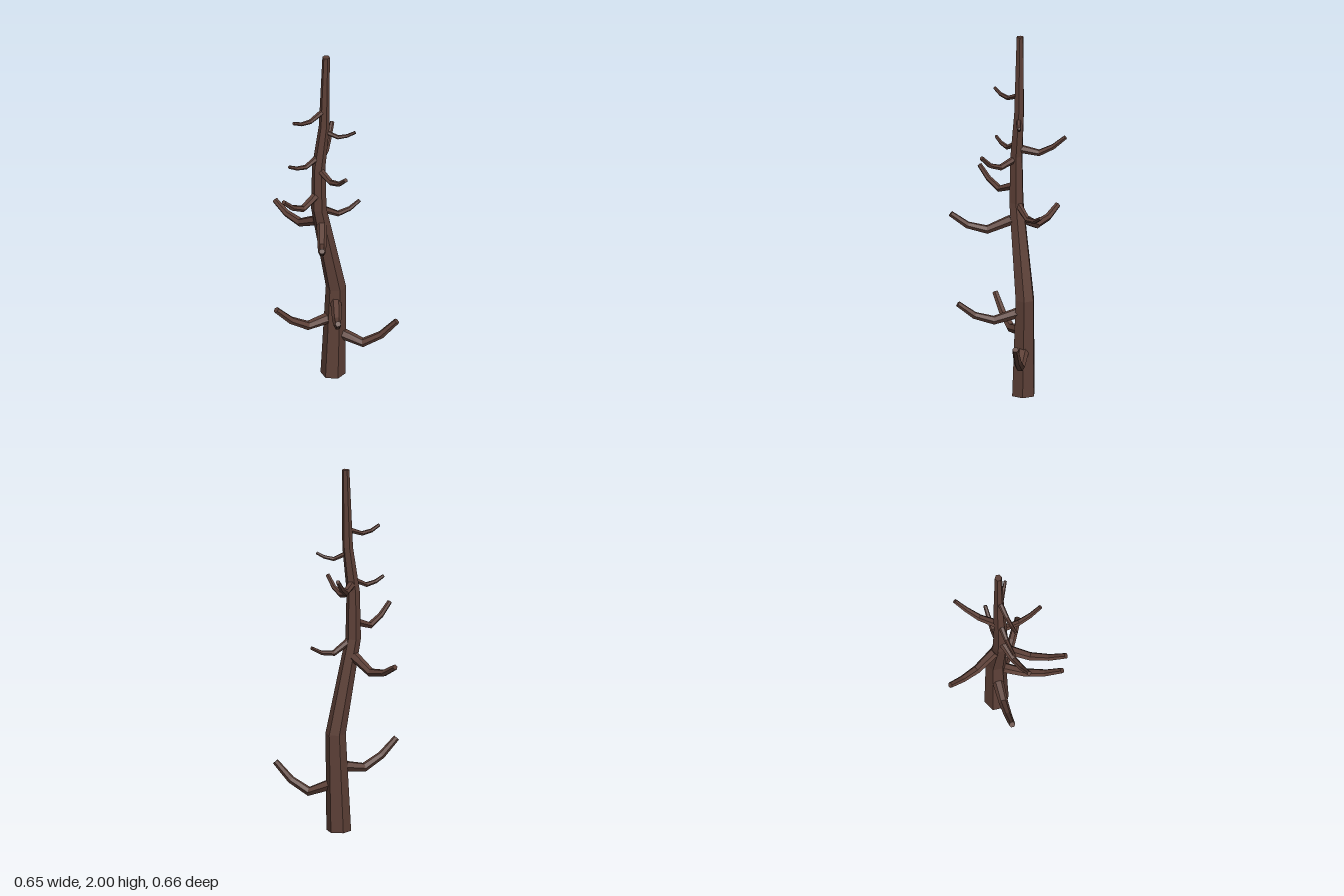
import * as THREE from 'three';

const SIDES = 6;
const UP = new THREE.Vector3(0, 1, 0);

// Faceted, tapered limb through a list of centres with one radius per ring.
// With level = true every ring stays horizontal, otherwise it follows the path.
function limbGeometry(points, radii, level) {
  const rings = points.map((p, k) => {
    let u = new THREE.Vector3(0, 0, 1);
    let v = new THREE.Vector3(1, 0, 0);
    if (!level) {
      const into = p.clone().sub(points[Math.max(k - 1, 0)]).normalize();
      const out = points[Math.min(k + 1, points.length - 1)].clone().sub(p).normalize();
      const t = into.add(out).normalize();
      u = new THREE.Vector3().crossVectors(t, UP).normalize();
      v = new THREE.Vector3().crossVectors(t, u);
    }
    return Array.from({ length: SIDES }, (_, i) => {
      const a = (i / SIDES) * Math.PI * 2;
      return p.clone()
        .addScaledVector(u, Math.cos(a) * radii[k])
        .addScaledVector(v, Math.sin(a) * radii[k]);
    });
  });

  const pos = [];
  const tri = (...corners) => corners.forEach((c) => pos.push(c.x, c.y, c.z));
  const last = rings.length - 1;
  for (let i = 0; i < SIDES; i++) {
    const j = (i + 1) % SIDES;
    for (let k = 0; k < last; k++) {
      const a = rings[k], b = rings[k + 1];
      tri(a[i], a[j], b[j]);
      tri(a[i], b[j], b[i]);
    }
    tri(points[0], rings[0][j], rings[0][i]);
    tri(points[last], rings[last][i], rings[last][j]);
  }
  const geometry = new THREE.BufferGeometry();
  geometry.setAttribute('position', new THREE.Float32BufferAttribute(pos, 3));
  geometry.computeVertexNormals();
  return geometry;
}

// Trunk bends: height, x of centre, radius
const TRUNK_Z = -0.014;
const TRUNK = [
  [0, 0.021, 0.067],
  [0.54, 0.039, 0.055],
  [1.06, -0.062, 0.042],
  [1.32, -0.062, 0.036],
  [1.57, -0.03, 0.029],
  [2, -0.019, 0.02],
];

function trunkX(y) {
  const k = Math.max(1, TRUNK.findIndex((r) => r[0] >= y));
  const [y0, x0] = TRUNK[k - 1];
  const [y1, x1] = TRUNK[k];
  return THREE.MathUtils.lerp(x0, x1, (y - y0) / (y1 - y0));
}

// Branches: tip x, tip z, four heights from trunk to tip, base radius, tip radius
const BRANCHES = [
  [0.31, 0.178, [0.255, 0.207, 0.267, 0.362], 0.033, 0.017],
  [-0.312, -0.012, [0.355, 0.335, 0.393, 0.48], 0.032, 0.017],
  [-0.095, 0.32, [0.465, 0.427, 0.457, 0.525], 0.031, 0.016],
  [-0.183, -0.322, [0.965, 0.9, 0.916, 0.965], 0.03, 0.016],
  [-0.188, 0.317, [0.965, 0.912, 0.94, 1.005], 0.03, 0.016],
  [0.187, -0.035, [1.045, 0.99, 1.0, 1.035], 0.021, 0.01],
  [-0.31, 0.083, [1.145, 1.108, 1.148, 1.212], 0.024, 0.013],
  [-0.008, 0.222, [1.3, 1.275, 1.3, 1.355], 0.02, 0.012],
  [0.108, -0.223, [1.36, 1.345, 1.385, 1.442], 0.024, 0.012],
  [-0.248, 0.015, [1.38, 1.345, 1.355, 1.38], 0.017, 0.009],
  [0.12, 0.06, [1.53, 1.5, 1.51, 1.533], 0.014, 0.008],
  [-0.23, 0.032, [1.66, 1.63, 1.636, 1.66], 0.016, 0.009],
];
const STEPS = [0.1, 0.46, 0.75, 1];

export function createModel() {
  const bark = new THREE.MeshStandardMaterial({ color: 0x5d4037 });
  bark.name = 'bark brown';
  bark.flatShading = true;

  const tree = new THREE.Group();
  tree.name = 'bareTree';

  // Crooked trunk
  const trunk = new THREE.Mesh(
    limbGeometry(
      TRUNK.map(([y, x]) => new THREE.Vector3(x, y, TRUNK_Z)),
      TRUNK.map((r) => r[2]),
      true,
    ),
    bark,
  );
  trunk.name = 'trunk';
  tree.add(trunk);

  // Upturned bare branches radiating from the trunk
  BRANCHES.forEach(([tipX, tipZ, heights, r0, r1], n) => {
    const rootX = trunkX(heights[0]);
    const points = STEPS.map((s, k) => new THREE.Vector3(
      THREE.MathUtils.lerp(rootX, tipX, s),
      heights[k],
      THREE.MathUtils.lerp(TRUNK_Z, tipZ, s),
    ));
    const radii = STEPS.map((s) => THREE.MathUtils.lerp(r0, r1, s));
    const branch = new THREE.Mesh(limbGeometry(points, radii, false), bark);
    branch.name = `branch${n + 1}`;
    tree.add(branch);
  });

  return tree;
}
